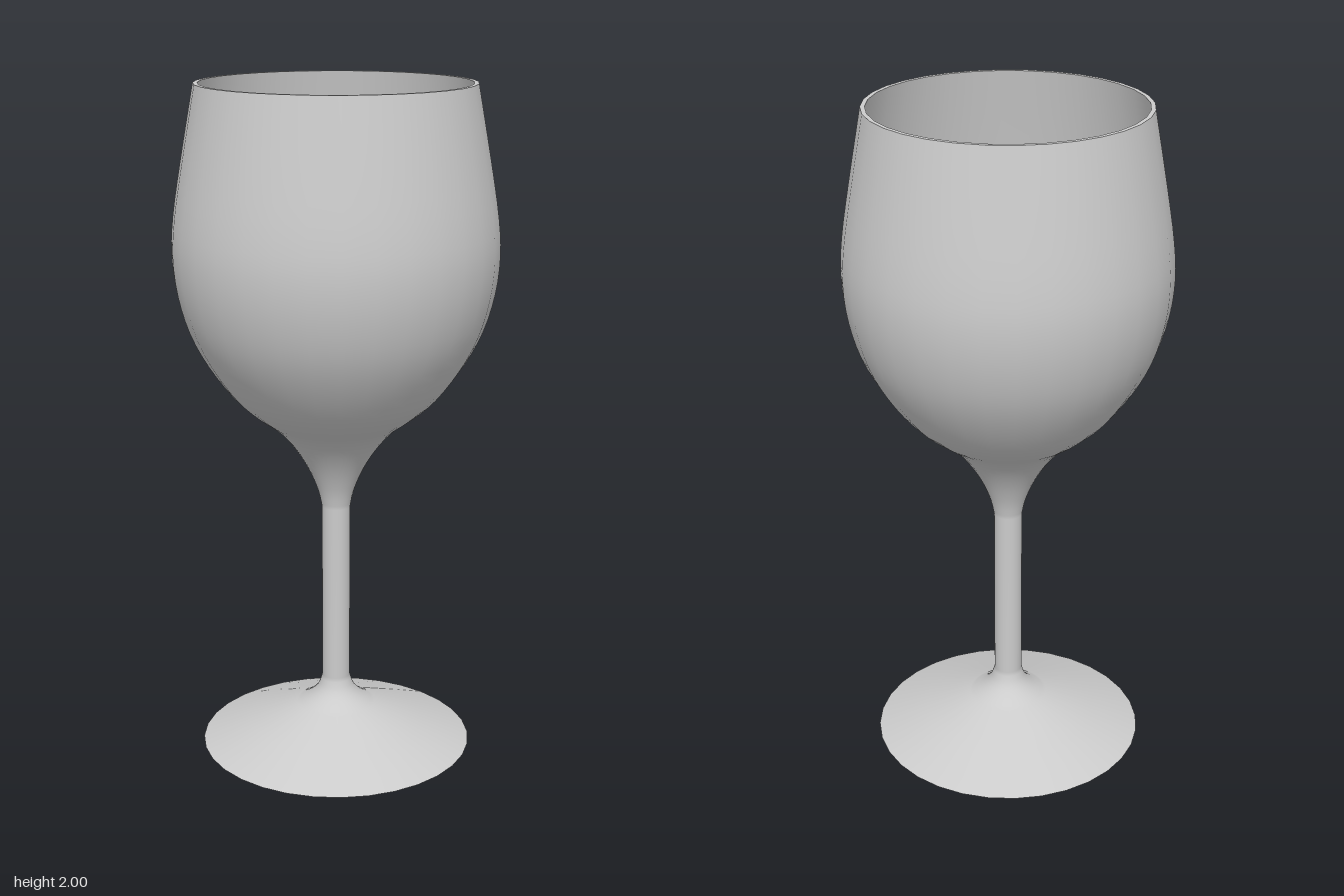
import * as THREE from 'three';

const SEGMENTS = 32;
const vectors = (pairs) => pairs.map(([r, y]) => new THREE.Vector2(r, y));
const smooth = (pairs, n) => new THREE.SplineCurve(vectors(pairs)).getPoints(n);

export function createModel() {
  const group = new THREE.Group();
  const material = new THREE.MeshStandardMaterial({ color: 0xcccccc });

  // Each part is a revolved profile of [radius, height]; parts split at hard edges
  const turn = (name, points) => {
    const mesh = new THREE.Mesh(new THREE.LatheGeometry(points, SEGMENTS), material);
    mesh.name = name;
    group.add(mesh);
  };

  // Underside of the foot, very slightly hollow
  turn('footUnderside', vectors([[0, 0.015], [0.2, 0.008], [0.41, 0]]));

  // Conical foot flaring into the stem, and up into the outer bowl
  const foot = vectors([[0.41, 0], [0.265, 0.058]]);
  const flare = smooth([[0.12, 0.115], [0.083, 0.138], [0.055, 0.168], [0.042, 0.205]], 8);
  const bowl = smooth([
    [0.042, 0.75], [0.053, 0.8], [0.077, 0.86], [0.108, 0.915], [0.145, 0.965],
    [0.185, 1.005], [0.24, 1.045], [0.305, 1.105], [0.375, 1.2], [0.427, 1.3],
    [0.459, 1.41], [0.471, 1.52], [0.464, 1.63], [0.44, 1.78], [0.4, 2],
  ], 42);
  turn('outerSurface', [...foot, ...flare, ...bowl]);

  // Flat lip
  turn('rim', vectors([[0.4, 2], [0.387, 2]]));

  // Inside of the bowl, from the lip down to the rounded bottom
  turn('bowlInterior', smooth([
    [0.387, 2], [0.427, 1.78], [0.451, 1.63], [0.457, 1.52], [0.445, 1.41],
    [0.413, 1.3], [0.362, 1.205], [0.294, 1.117], [0.22, 1.058],
    [0.13, 1.018], [0.06, 1.008], [0, 1.005],
  ], 36));

  return group;
}
